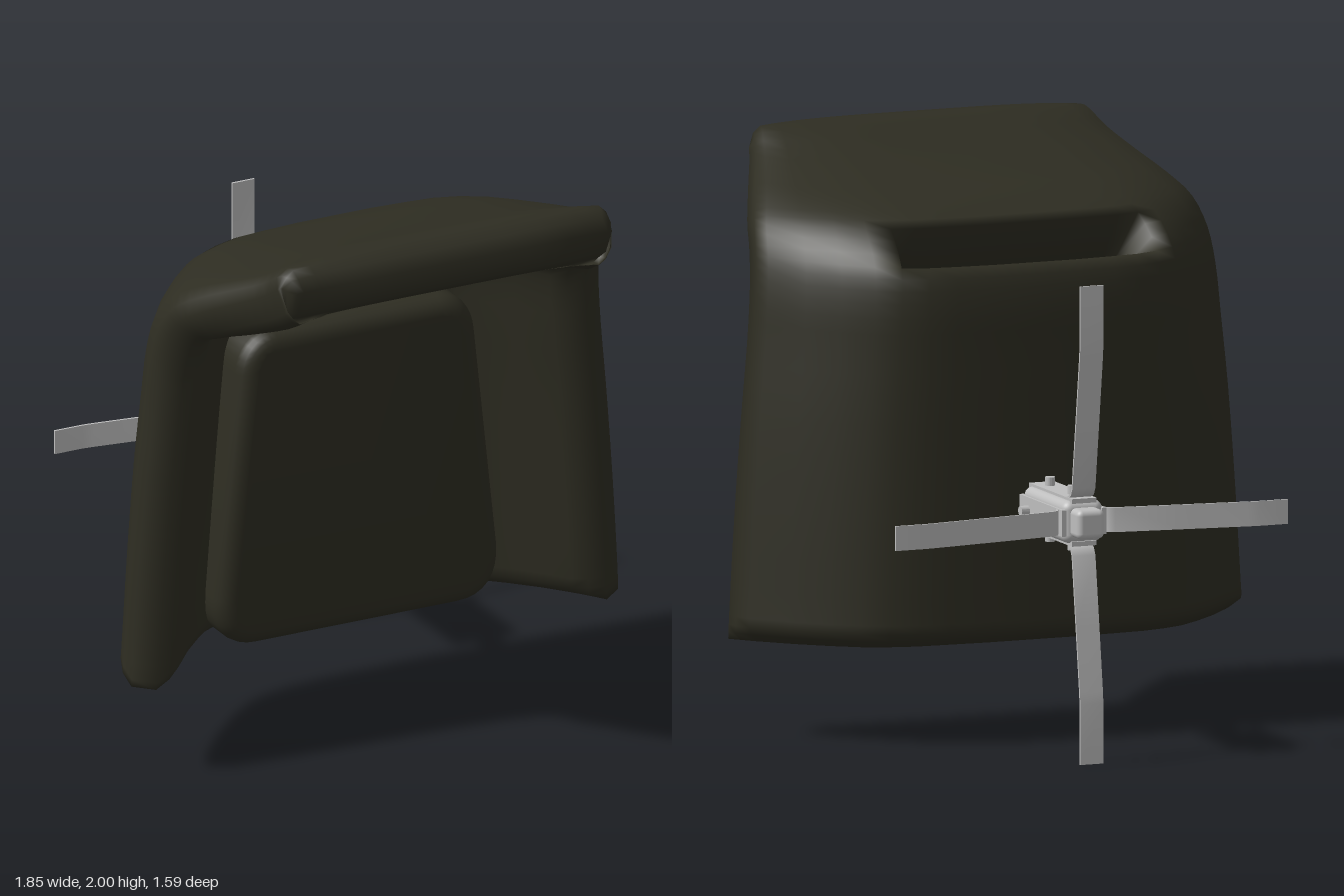
import * as THREE from 'three';
import { mergeVertices, toCreasedNormals } from 'three/addons/utils/BufferGeometryUtils.js';
import { RoundedBoxGeometry } from 'three/addons/geometries/RoundedBoxGeometry.js';

const V = (x, y, z) => new THREE.Vector3(x, y, z);

// Rows from the bottom hem up the back and forward over the hood:
// centre z, centre y, edge x, edge z, edge y
const ROWS = [
  [-0.30, 0.34, 0.97, 0.165, 0.34], [-0.30, 0.42, 0.965, 0.17, 0.42],
  [-0.30, 0.75, 0.945, 0.175, 0.75], [-0.30, 1.10, 0.918, 0.18, 1.10],
  [-0.30, 1.35, 0.893, 0.19, 1.35], [-0.298, 1.51, 0.878, 0.205, 1.52],
  [-0.27, 1.63, 0.862, 0.24, 1.64], [-0.135, 1.745, 0.835, 0.30, 1.73],
  [0.0, 1.80, 0.785, 0.40, 1.80], [0.20, 1.85, 0.725, 0.52, 1.865],
  [0.45, 1.92, 0.67, 0.63, 1.925], [0.68, 1.995, 0.635, 0.70, 1.975],
  [0.805, 1.985, 0.615, 0.775, 1.965],
];
// Half plan across the shell: sideways and forward fractions
const PLAN = [[0, 0], [0.17, 0], [0.33, 0.02], [0.44, 0.04], [0.54, 0.1], [0.63, 0.19],
  [0.73, 0.36], [0.83, 0.56], [0.93, 0.8], [0.97, 0.91], [1, 1]];
const SUB = 3, THICK = 0.2;
const TUCK = [0.058, 0.02]; // rounding of the hems, edge first

// Thick curved sheet with a slot left open behind the hood
function shellGeometry() {
  const across = [...PLAN.slice(1).reverse().map(([x, z]) => [-x, z]), ...PLAN];
  const nu = across.length, nv = (ROWS.length - 1) * SUB + 1;
  const grid = across.map(([x, f]) => new THREE.CatmullRomCurve3(ROWS.map(
    ([cz, cy, ex, ez, ey]) => V(ex * x, cy + (ey - cy) * x ** 4, cz + (ez - cz) * f)
  )).getPoints(nv - 1));

  // outer skin, then inner skin offset along the normal, rounded at the hems
  const outer = [], inner = [];
  for (let i = 0; i < nu; i++) for (let j = 0; j < nv; j++) {
    const du = grid[Math.min(i + 1, nu - 1)][j].clone().sub(grid[Math.max(i - 1, 0)][j]);
    const dv = grid[i][Math.min(j + 1, nv - 1)].clone().sub(grid[i][Math.max(j - 1, 0)]);
    const n = dv.cross(du).normalize();
    const t = TUCK[Math.min(i, j, nu - 1 - i, nv - 1 - j)] ?? 0;
    outer.push(...grid[i][j].clone().addScaledVector(n, -t).toArray());
    inner.push(...grid[i][j].clone().addScaledVector(n, t - THICK).toArray());
  }

  const kept = (i, j) => {
    if (i < 0 || j < 0 || i >= nu - 1 || j >= nv - 1) return false;
    const inSlot = j >= 6 * SUB && j < 7 * SUB
      && Math.abs(across[i][0] + across[i + 1][0]) / 2 < 0.54;
    return !inSlot;
  };
  const index = [], off = nu * nv;
  const quad = (a, b, c, d) => index.push(a, b, c, a, c, d);
  for (let i = 0; i < nu - 1; i++) for (let j = 0; j < nv - 1; j++) {
    if (!kept(i, j)) continue;
    const a = i * nv + j, b = a + nv, c = b + 1, d = a + 1;
    quad(a, d, c, b);
    quad(a + off, b + off, c + off, d + off);
    const sides = [[a, d, i - 1, j], [d, c, i, j + 1], [c, b, i + 1, j], [b, a, i, j - 1]];
    for (const [p, q, ni, nj] of sides) if (!kept(ni, nj)) quad(q, p, p + off, q + off);
  }
  const g = new THREE.BufferGeometry();
  g.setAttribute('position', new THREE.Float32BufferAttribute([...outer, ...inner], 3));
  g.setIndex(index);
  g.computeVertexNormals();
  return g;
}

// Tapered cushion with soft edges
function padGeometry() {
  const bevel = 0.06;
  const s = new THREE.Shape();
  s.moveTo(-0.38, 0.40);
  s.lineTo(0.38, 0.40);
  s.quadraticCurveTo(0.48, 0.40, 0.475, 0.52);
  s.lineTo(0.39, 1.32);
  s.quadraticCurveTo(0.38, 1.41, 0.31, 1.41);
  s.lineTo(-0.31, 1.41);
  s.quadraticCurveTo(-0.38, 1.41, -0.39, 1.32);
  s.lineTo(-0.475, 0.52);
  s.quadraticCurveTo(-0.48, 0.40, -0.38, 0.40);
  const g = new THREE.ExtrudeGeometry(s, {
    depth: 0.18, bevelEnabled: true, bevelSize: bevel, bevelThickness: bevel,
    bevelSegments: 5, curveSegments: 8,
  });
  g.translate(0, 0, -0.14);
  g.deleteAttribute('uv');
  g.deleteAttribute('normal');
  return toCreasedNormals(mergeVertices(g, 1e-4), 0.9);
}

// Bent flat strap running along the mount and flaring outward
function strapGeometry(reach) {
  const path = [[0.073, -0.37], [0.073, -0.65], [0.079, -0.685], [0.093, -0.71], [0.115, -0.722],
    [0.35, -0.756], [0.57, -0.787], [0.61, -0.791], [reach, -0.791]];
  const half = 0.004;
  const side = (sign) => path.map(([x, z], k) => {
    const p = path[Math.max(k - 1, 0)], q = path[Math.min(k + 1, path.length - 1)];
    const len = Math.hypot(q[0] - p[0], q[1] - p[1]);
    return new THREE.Vector2(x - sign * half * (q[1] - p[1]) / len, z + sign * half * (q[0] - p[0]) / len);
  });
  const shape = new THREE.Shape([...side(1), ...side(-1).reverse()]);
  const g = new THREE.ExtrudeGeometry(shape, { depth: 0.084, bevelEnabled: false });
  g.translate(0, 0, -0.042);
  g.rotateX(Math.PI / 2);
  return toCreasedNormals(g, 0.6);
}

export function createModel() {
  const model = new THREE.Group();
  model.name = 'hoodedSeat';
  const fabric = new THREE.MeshStandardMaterial({ color: 0x2e2d22 });
  fabric.name = 'dark olive';
  const metal = new THREE.MeshStandardMaterial({ color: 0xbebebe });
  metal.name = 'light grey metal';
  const add = (parent, name, geometry, material, x = 0, y = 0, z = 0) => {
    const m = new THREE.Mesh(geometry, material);
    m.name = name;
    m.position.set(x, y, z);
    parent.add(m);
  };

  add(model, 'shell', shellGeometry(), fabric);
  add(model, 'pad', padGeometry(), fabric);

  // Rear mount, built around its own axis
  const mount = new THREE.Group();
  mount.name = 'rearMount';
  mount.position.set(0.015, 0.815, 0);
  model.add(mount);
  const rod = new THREE.CylinderGeometry(0.038, 0.038, 0.2, 20).rotateX(Math.PI / 2);
  add(mount, 'rod', rod, metal, 0, 0, -0.28);
  add(mount, 'core', new RoundedBoxGeometry(0.145, 0.145, 0.37, 3, 0.03), metal, 0, 0, -0.545);
  add(mount, 'endBlock', new RoundedBoxGeometry(0.1, 0.1, 0.14, 3, 0.02), metal, 0, 0, -0.725);

  // Four sides, each with a plate, a strap and two bolts
  for (let k = 0; k < 4; k++) {
    const arm = new THREE.Group();
    arm.name = 'arm' + (k + 1);
    arm.rotation.z = k * Math.PI / 2;
    mount.add(arm);
    add(arm, 'plate', new THREE.BoxGeometry(0.016, 0.09, 0.37), metal, 0.073, 0, -0.545);
    add(arm, 'strap', strapGeometry(k % 2 ? 0.815 : 0.715), metal);
    for (const z of [-0.435, -0.625]) {
      const bolt = new THREE.CylinderGeometry(0.017, 0.017, 0.05, 14).rotateZ(Math.PI / 2);
      add(arm, 'bolt', toCreasedNormals(bolt, 0.6), metal, 0.085, 0, z);
    }
  }
  return model;
}
